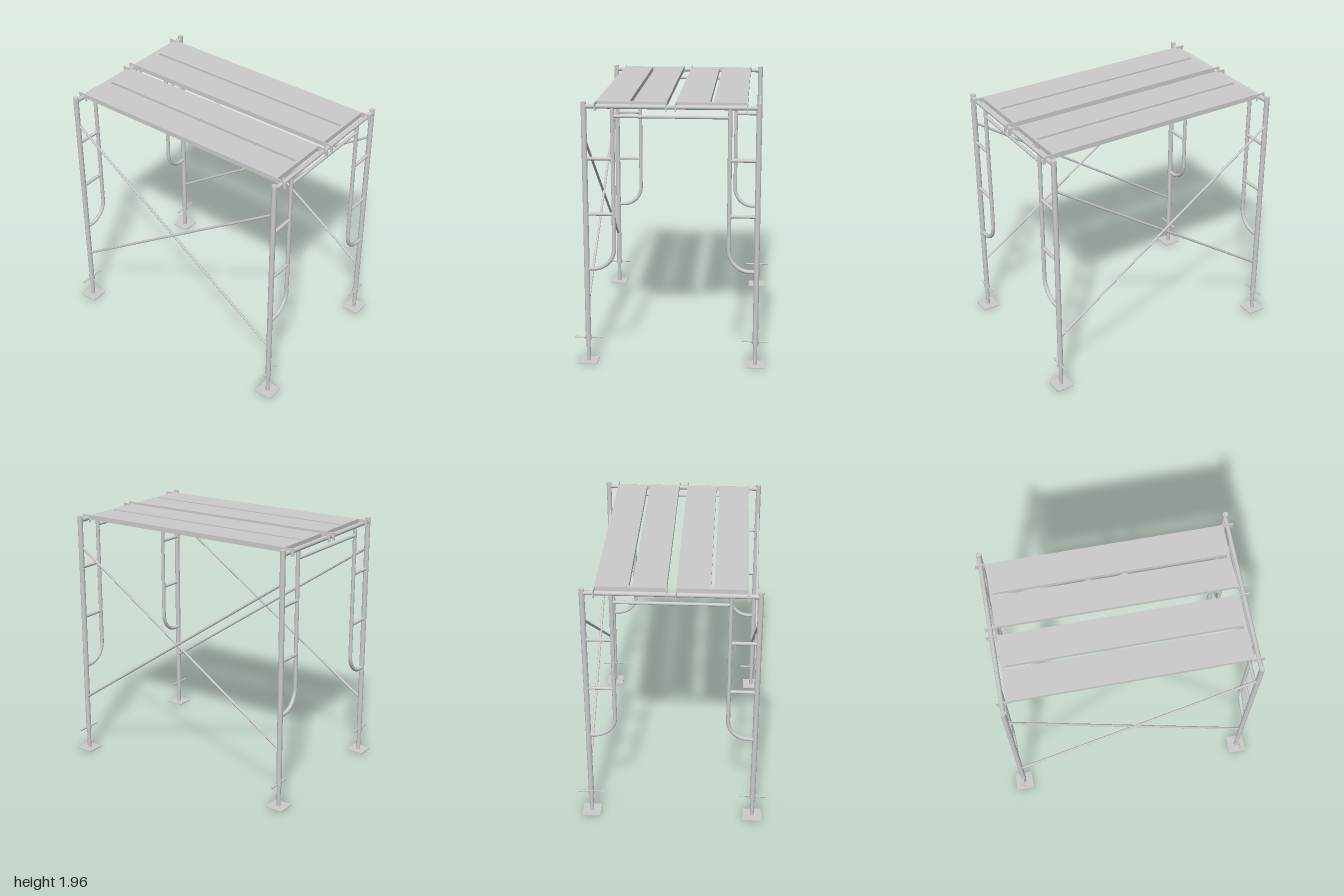
import * as THREE from 'three';

const mat = new THREE.MeshStandardMaterial({ color: 0xcccccc });
const V = (x, y, z) => new THREE.Vector3(x, y, z);

const LEG_X = 0.927, LEG_Z = 0.62, HOOP_Z = 0.417;

function add(parent, name, geometry, x = 0, y = 0, z = 0) {
  const mesh = new THREE.Mesh(geometry, mat);
  mesh.name = name;
  mesh.position.set(x, y, z);
  parent.add(mesh);
  return mesh;
}

// Round bar between two points
function bar(parent, name, a, b, radius, sides = 16) {
  const dir = b.clone().sub(a);
  const mesh = add(parent, name, new THREE.CylinderGeometry(radius, radius, dir.length(), sides));
  mesh.position.copy(a).add(b).multiplyScalar(0.5);
  mesh.quaternion.setFromUnitVectors(V(0, 1, 0), dir.normalize());
  return mesh;
}

// Adjustable foot: base plate, screw, collar and turning handle
function createJack(sz) {
  const jack = new THREE.Group();
  jack.name = 'screwJack';
  const z = sz * LEG_Z;
  add(jack, 'basePlate', new THREE.BoxGeometry(0.14, 0.008, 0.14), 0, 0.004, z);
  bar(jack, 'jackScrew', V(0, 0.004, z), V(0, 0.19, z), 0.015);
  bar(jack, 'jackCollar', V(0, 0.17, z), V(0, 0.205, z), 0.023);
  bar(jack, 'jackHandle', V(0, 0.188, z - 0.1), V(0, 0.188, z + 0.1), 0.007, 10);
  return jack;
}

// One leg with its curved inner tube and rungs
function createLeg(sz) {
  const side = new THREE.Group();
  side.name = 'legAssembly';
  const z = sz * LEG_Z, hz = sz * HOOP_Z;
  bar(side, 'leg', V(0, 0.17, z), V(0, 1.96, z), 0.02, 20);
  const path = new THREE.CurvePath();
  path.add(new THREE.LineCurve3(V(0, 0.725, z), V(0, 0.725, sz * 0.575)));
  const k = 0.553, r = 0.575 - HOOP_Z;
  path.add(new THREE.CubicBezierCurve3(
    V(0, 0.725, sz * 0.575), V(0, 0.725, sz * (0.575 - r * k)),
    V(0, 0.725 + r * (1 - k), hz), V(0, 0.725 + r, hz)));
  path.add(new THREE.LineCurve3(V(0, 0.725 + r, hz), V(0, 1.925, hz)));
  add(side, 'curvedTube', new THREE.TubeGeometry(path, 90, 0.015, 14));
  for (const y of [1.14, 1.55]) bar(side, 'rung', V(0, y, z), V(0, y, hz), 0.013);
  side.add(createJack(sz));
  return side;
}

// Portal frame at one end
function createEndFrame(sx) {
  const frame = new THREE.Group();
  frame.name = sx > 0 ? 'leftEndFrame' : 'rightEndFrame';
  for (const sz of [-1, 1]) frame.add(createLeg(sz));
  bar(frame, 'topRail', V(0, 1.928, -LEG_Z), V(0, 1.928, LEG_Z), 0.017);
  bar(frame, 'lowerRail', V(0, 1.858, -HOOP_Z), V(0, 1.858, HOOP_Z), 0.012);
  frame.position.x = sx * LEG_X;
  return frame;
}

// Crossed braces joining the end frames
function createBraces(sz) {
  const braces = new THREE.Group();
  braces.name = sz > 0 ? 'frontCrossBrace' : 'backCrossBrace';
  for (const s of [-1, 1]) {
    const z = sz * LEG_Z + s * 0.005;
    bar(braces, 'braceRod', V(-0.92, 1.085 - s * 0.627, z), V(0.92, 1.085 + s * 0.627, z), 0.0095, 12);
  }
  bar(braces, 'bracePivot', V(0, 1.085, sz * LEG_Z - 0.016), V(0, 1.085, sz * LEG_Z + 0.016), 0.006, 10);
  return braces;
}

// Folded sheet deck, open underneath, with a long centre slot
function createPlank(sz) {
  const plank = new THREE.Group();
  plank.name = sz > 0 ? 'frontPlank' : 'backPlank';
  const L = 0.89, W = 0.252, S = 0.865, G = 0.0125, T = 0.004;
  const rect = (Type, x, z) => new Type([[-x, -z], [x, -z], [x, z], [-x, z]].map(p => new THREE.Vector2(...p)));
  const shape = rect(THREE.Shape, L, W);
  shape.holes.push(rect(THREE.Path, S, G));
  const deck = new THREE.ExtrudeGeometry(shape, { depth: T, bevelEnabled: false });
  deck.rotateX(-Math.PI / 2);
  add(plank, 'deckSheet', deck, 0, 1.954, 0);
  for (const s of [-1, 1]) {
    add(plank, 'sideFlange', new THREE.BoxGeometry(2 * L, 0.035, T), 0, 1.9385, s * (W - T / 2));
    add(plank, 'bottomLip', new THREE.BoxGeometry(2 * L, T, 0.025), 0, 1.923, s * (W - 0.0125));
    add(plank, 'slotFlange', new THREE.BoxGeometry(2 * S, 0.035, T), 0, 1.9385, s * (G + T / 2));
    add(plank, 'endFlange', new THREE.BoxGeometry(T, 0.035, 2 * W), s * (L - T / 2), 1.9385, 0);
    // Hook plates that drop over the top rail
    for (const e of [-1, 1]) {
      const hook = new THREE.Shape([[0.87, 1.925], [0.895, 1.925], [0.895, 1.9], [0.905, 1.9],
        [0.91, 1.93], [0.927, 1.945], [0.944, 1.93], [0.946, 1.9], [0.967, 1.9], [0.967, 1.958], [0.87, 1.958]]
        .map(p => new THREE.Vector2(...p)));
      const geo = new THREE.ExtrudeGeometry(hook, { depth: 0.008, bevelEnabled: false });
      geo.translate(0, 0, -0.004);
      const mesh = add(plank, 'hook', geo, 0, 0, s * W);
      if (e < 0) mesh.rotation.y = Math.PI;
    }
  }
  plank.position.z = sz * 0.285;
  return plank;
}

export function createModel() {
  const model = new THREE.Group();
  model.name = 'scaffold';
  for (const s of [-1, 1]) model.add(createEndFrame(s), createBraces(s), createPlank(s));
  return model;
}
